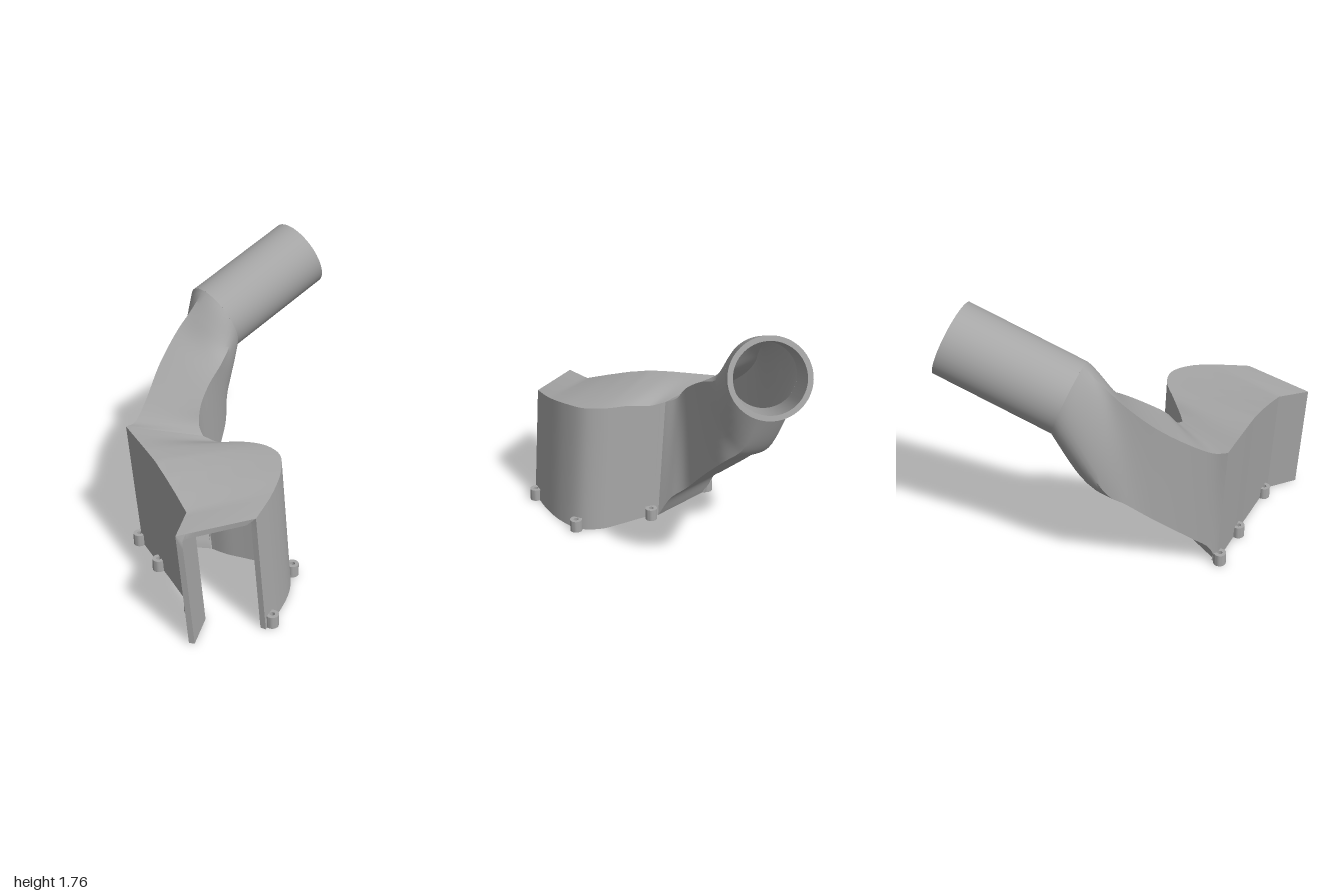
import * as THREE from 'three';
import { toCreasedNormals } from 'three/addons/utils/BufferGeometryUtils.js';

const V = (x, y, z) => new THREE.Vector3(x, y, z);
const WALL = 0.035;

// Thick skin from a grid of points: rows run along the duct, columns around it
function shell(rows, thickness, closed) {
  const R = rows.length, C = rows[0].length, pos = [];
  const wrap = j => (closed ? (j + C) % C : j);
  const cols = closed ? C : C - 1;
  const sums = rows.map(r => r.map(() => ({ n: V(0, 0, 0), count: 0 })));
  for (let i = 0; i < R - 1; i++) for (let j = 0; j < cols; j++) {
    const k = wrap(j + 1);
    const n = rows[i + 1][k].clone().sub(rows[i][j])
      .cross(rows[i + 1][j].clone().sub(rows[i][k])).normalize();
    for (const s of [sums[i][j], sums[i][k], sums[i + 1][j], sums[i + 1][k]]) {
      s.n.add(n);
      s.count++;
    }
  }
  // Make the offset point outwards, mitred at the corners
  const inner = rows.map((r, i) => r.map((p, j) => {
    const { n, count } = sums[i][j], len = Math.max(n.length(), 0.5 * count);
    const q = p.clone().addScaledVector(n.clone().normalize(), -thickness * count / len);
    q.y = Math.max(q.y, 0);
    if (p.y < 1e-6) q.y = 0;
    return q;
  }));
  const quad = (a, b, c, d) => {
    for (const p of [a, b, c, a, c, d]) pos.push(p.x, p.y, p.z);
  };
  const L = R - 1;
  for (let j = 0; j < cols; j++) {
    const k = wrap(j + 1);
    for (let i = 0; i < L; i++) {
      quad(rows[i][j], rows[i][k], rows[i + 1][k], rows[i + 1][j]);
      quad(inner[i][j], inner[i + 1][j], inner[i + 1][k], inner[i][k]);
    }
    quad(rows[0][k], rows[0][j], inner[0][j], inner[0][k]);
    quad(rows[L][j], rows[L][k], inner[L][k], inner[L][j]);
  }
  if (!closed) for (let i = 0; i < L; i++) {
    quad(rows[i][0], rows[i + 1][0], inner[i + 1][0], inner[i][0]);
    quad(rows[i + 1][C - 1], rows[i][C - 1], inner[i][C - 1], inner[i + 1][C - 1]);
  }
  const g = new THREE.BufferGeometry();
  g.setAttribute('position', new THREE.Float32BufferAttribute(pos, 3));
  return toCreasedNormals(g, 0.6);
}

// Hollow ring or pipe standing on y = 0
function ring(outer, inner, height, segments) {
  const p = [[outer, 0], [outer, height], [inner, height], [inner, 0], [outer, 0]];
  const g = new THREE.LatheGeometry(p.map(q => new THREE.Vector2(...q)), segments);
  return toCreasedNormals(g, 0.6);
}

export function createModel() {
  const group = new THREE.Group();
  const grey = new THREE.MeshStandardMaterial({ color: 0xa6a6a6 });
  grey.name = 'grey plastic';
  const add = (name, geometry) => {
    const m = new THREE.Mesh(geometry, grey);
    m.name = name;
    group.add(m);
    return m;
  };

  // Housing: top edges of both walls from the open front to the neck
  const left = [V(-1, 0.745, 0.64), V(-0.83, 0.76, 0.5), V(-0.803, 0.8, 0.352), V(-0.778, 0.835, 0.205),
    V(-0.752, 0.86, 0.058), V(-0.727, 0.865, -0.09), V(-0.701, 0.865, -0.237), V(-0.675, 0.865, -0.385)];
  const right = new THREE.CatmullRomCurve3([V(-0.57, 0.78, 0.81), V(-0.38, 0.815, 0.71), V(-0.22, 0.85, 0.59),
    V(-0.12, 0.865, 0.45), V(-0.125, 0.865, 0.31), V(-0.2, 0.85, 0.17), V(-0.28, 0.815, 0.04), V(-0.32, 0.825, -0.06)]);
  const foot = p => V(p.x + 0.055 * p.y, 0, p.z + 0.055 * p.y);
  const STEPS = 6, hull = [];
  for (let i = 0; i <= 7 * STEPS; i++) {
    const s = Math.min(Math.floor(i / STEPS), 6);
    const tl = left[s].clone().lerp(left[s + 1], i / STEPS - s);
    const tr = right.getPoint(i / (7 * STEPS));
    const corners = [foot(tl), tl, tr, foot(tr)], row = [];
    for (let c = 0; c < 3; c++) for (let k = 0; k < 8; k++) row.push(corners[c].clone().lerp(corners[c + 1], k / 8));
    row.push(corners[3]);
    hull.push(row);
  }
  add('housing', shell(hull, WALL, false));

  // Pipe frame: the start of its axis, its tilt and its radius
  const centre = V(0.205, 1.265, -0.66), radius = 0.23;
  const up = V(-0.377, 0.926, 0), side = V(0, 0, 1);
  const onCircle = a => centre.clone().addScaledVector(up, radius * Math.cos(a)).addScaledVector(side, radius * Math.sin(a));

  // Duct: four corner paths that twist from the neck onto the pipe's circle
  const paths = [
    [V(-0.675, 0.865, -0.385), V(-0.6, 0.86, -0.405), V(-0.48, 0.93, -0.47), V(-0.28, 1.1, -0.59), V(-0.1, 1.265, -0.645), V(0, 1.36, -0.65)],
    [V(-0.32, 0.825, -0.06), V(-0.3, 0.86, -0.13), V(-0.25, 0.95, -0.185), V(-0.14, 1.04, -0.25), V(0, 1.12, -0.31), V(0.1, 1.17, -0.37)],
    [foot(V(-0.32, 0.825, -0.06)), V(-0.245, 0.15, -0.1), V(-0.2, 0.25, -0.2), V(-0.03, 0.45, -0.32), V(0.13, 0.63, -0.44), V(0.2, 0.75, -0.55)],
    [foot(V(-0.675, 0.865, -0.385)), V(-0.58, 0.14, -0.385), V(-0.48, 0.24, -0.45), V(-0.26, 0.46, -0.6), V(-0.13, 0.6, -0.69), V(-0.04, 0.68, -0.74)],
  ].map((p, c) => new THREE.CatmullRomCurve3([...p, onCircle(c * Math.PI / 2)]));
  const duct = [];
  for (let i = 0; i <= 48; i++) {
    const t = i / 48, w = THREE.MathUtils.smoothstep(t, 0.6, 1), row = [];
    for (let c = 0; c < 4; c++) {
      const a = paths[c].getPoint(t), b = paths[(c + 1) % 4].getPoint(t);
      const ca = onCircle(c * Math.PI / 2), cb = onCircle((c + 1) * Math.PI / 2);
      for (let k = 0; k < 10; k++) {
        const f = k / 10;
        const bulge = onCircle((c + f) * Math.PI / 2).sub(ca.clone().lerp(cb, f));
        row.push(a.clone().lerp(b, f).addScaledVector(bulge, w));
      }
    }
    duct.push(row);
  }
  add('duct', shell(duct, 0.03, true));

  // Round outlet pipe
  const pipe = add('outletPipe', ring(radius, 0.2, 0.756, 64));
  pipe.position.copy(centre);
  pipe.rotation.z = Math.atan2(0.377, 0.926) - Math.PI / 2;

  // Small screw bosses around the foot of the walls
  const bosses = [[-0.23, 0.03], [-0.06, 0.52], [-0.47, 0.84], [-0.645, -0.34], [-0.7, -0.03], [-0.78, 0.44]];
  for (const [x, z] of bosses) add('screwBoss', ring(0.04, 0.016, 0.08, 24)).position.set(x, 0, z);

  return group;
}
